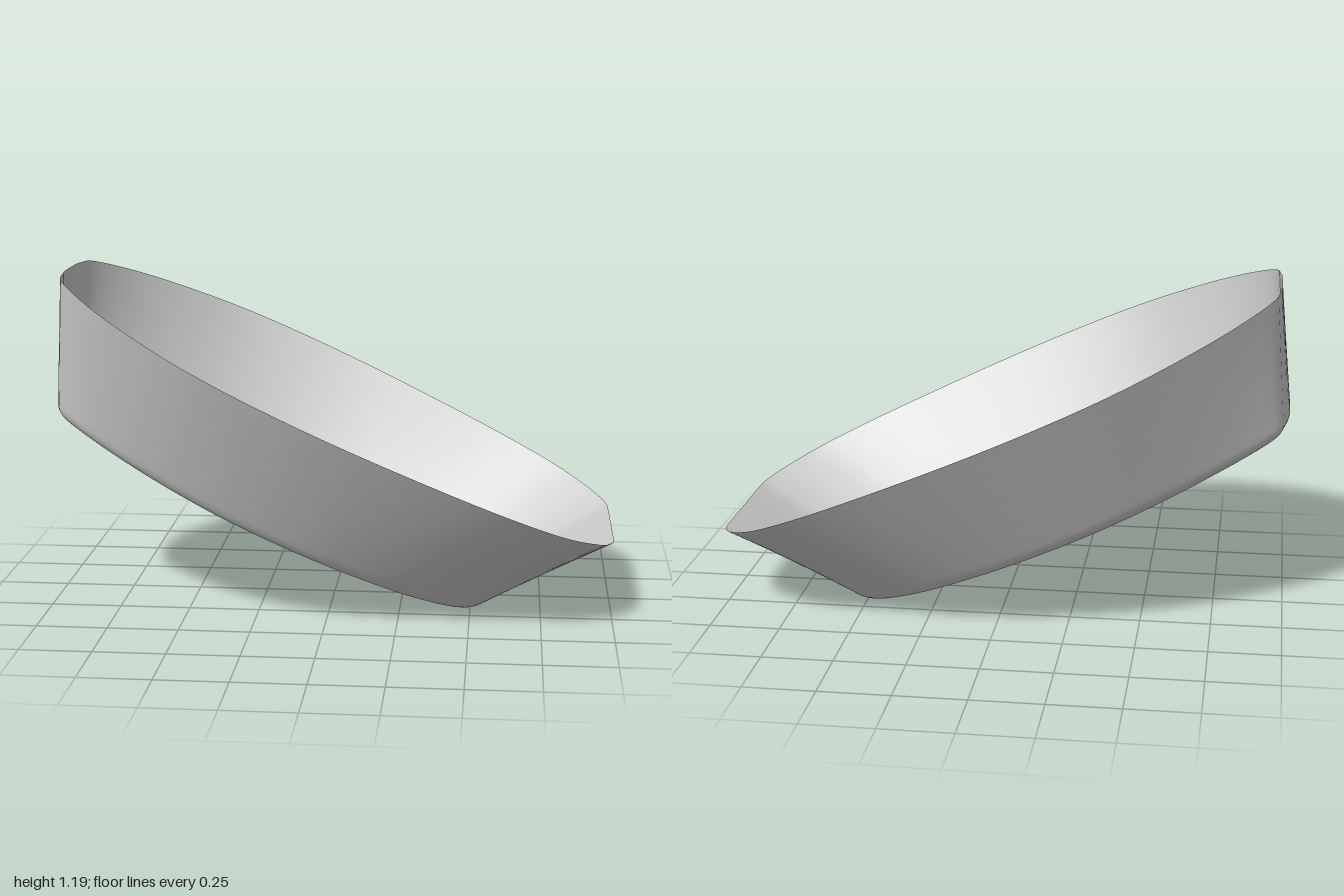
import * as THREE from 'three';

const SLOPE = -0.463;      // tilt shared by the rim and the floor
const FLOOR = 0.225;       // floor height at x = 0
const RIM_H = 0.523;       // rim height over the floor plane
const FILLET_H = 0.05;     // height where the wall meets the rounded edge
const SEGMENTS = 96;

// Half outlines (x, z), from the high end to the low end
const RIM = [[-0.955, 0], [-0.95, 0.15], [-0.915, 0.29], [-0.74, 0.49], [-0.47, 0.655], [-0.2, 0.715],
  [0.12, 0.71], [0.52, 0.635], [0.79, 0.53], [0.93, 0.4], [0.99, 0.29], [1, 0.2], [1, 0]];
const BASE = [[-1, 0], [-0.985, 0.12], [-0.95, 0.21], [-0.78, 0.33], [-0.56, 0.43], [-0.33, 0.48],
  [-0.08, 0.475], [0.15, 0.425], [0.32, 0.365], [0.44, 0.295], [0.51, 0.23], [0.545, 0.16], [0.555, 0]];
const FLOOR_EDGE = [[-0.96, 0], [-0.945, 0.1], [-0.91, 0.18], [-0.75, 0.29], [-0.54, 0.385], [-0.32, 0.435],
  [-0.08, 0.43], [0.13, 0.385], [0.28, 0.325], [0.38, 0.255], [0.44, 0.195], [0.46, 0.13], [0.465, 0]];

// Mirrors a half outline and samples it as a smooth ring on a tilted plane
function ring(half, height) {
  const mirrored = half.slice(1, -1).reverse().map(([x, z]) => [x, -z]);
  const points = [...half, ...mirrored].map(([x, z]) => new THREE.Vector3(x, 0, z));
  const curve = new THREE.CatmullRomCurve3(points, true, 'catmullrom', 0.5);
  return Array.from({ length: SEGMENTS }, (_, i) => {
    const p = curve.getPoint(i / SEGMENTS);
    p.y = FLOOR + SLOPE * p.x + height;
    return p;
  });
}

// Joins successive rings with a smooth skin
function skin(rings) {
  const positions = [], index = [];
  rings.forEach(r => r.forEach(p => positions.push(p.x, p.y, p.z)));
  for (let j = 0; j < rings.length - 1; j++) {
    for (let i = 0; i < SEGMENTS; i++) {
      const a = j * SEGMENTS + i, b = j * SEGMENTS + (i + 1) % SEGMENTS;
      const c = a + SEGMENTS, d = b + SEGMENTS;
      index.push(a, c, b, b, c, d);
    }
  }
  const geometry = new THREE.BufferGeometry();
  geometry.setAttribute('position', new THREE.Float32BufferAttribute(positions, 3));
  geometry.setIndex(index);
  geometry.computeVertexNormals();
  return geometry;
}

export function createModel() {
  const rim = ring(RIM, RIM_H), base = ring(BASE, FILLET_H), edge = ring(FLOOR_EDGE, 0);
  const rings = [];

  // Straight flaring wall
  for (const t of [0, 0.25, 0.5, 0.75, 0.95]) rings.push(rim.map((p, i) => p.clone().lerp(base[i], t)));

  // Rounded edge between wall and floor
  const corner = base.map((p, i) => p.clone().addScaledVector(p.clone().sub(rim[i]), FILLET_H / (RIM_H - FILLET_H)));
  for (let k = 0; k <= 8; k++) {
    rings.push(base.map((p, i) => new THREE.QuadraticBezierCurve3(p, corner[i], edge[i]).getPoint(k / 8)));
  }

  // Flat floor, closing on its centre
  const centre = new THREE.Vector3(-0.25, FLOOR + SLOPE * -0.25, 0);
  for (const t of [0.05, 0.5, 1]) rings.push(edge.map(p => p.clone().lerp(centre, t)));

  const material = new THREE.MeshStandardMaterial({ color: 0xcccccc, side: THREE.DoubleSide });
  const basin = new THREE.Mesh(skin(rings), material);
  basin.name = 'basinShell';

  const group = new THREE.Group();
  group.name = 'tiltedBasin';
  group.add(basin);
  return group;
}
